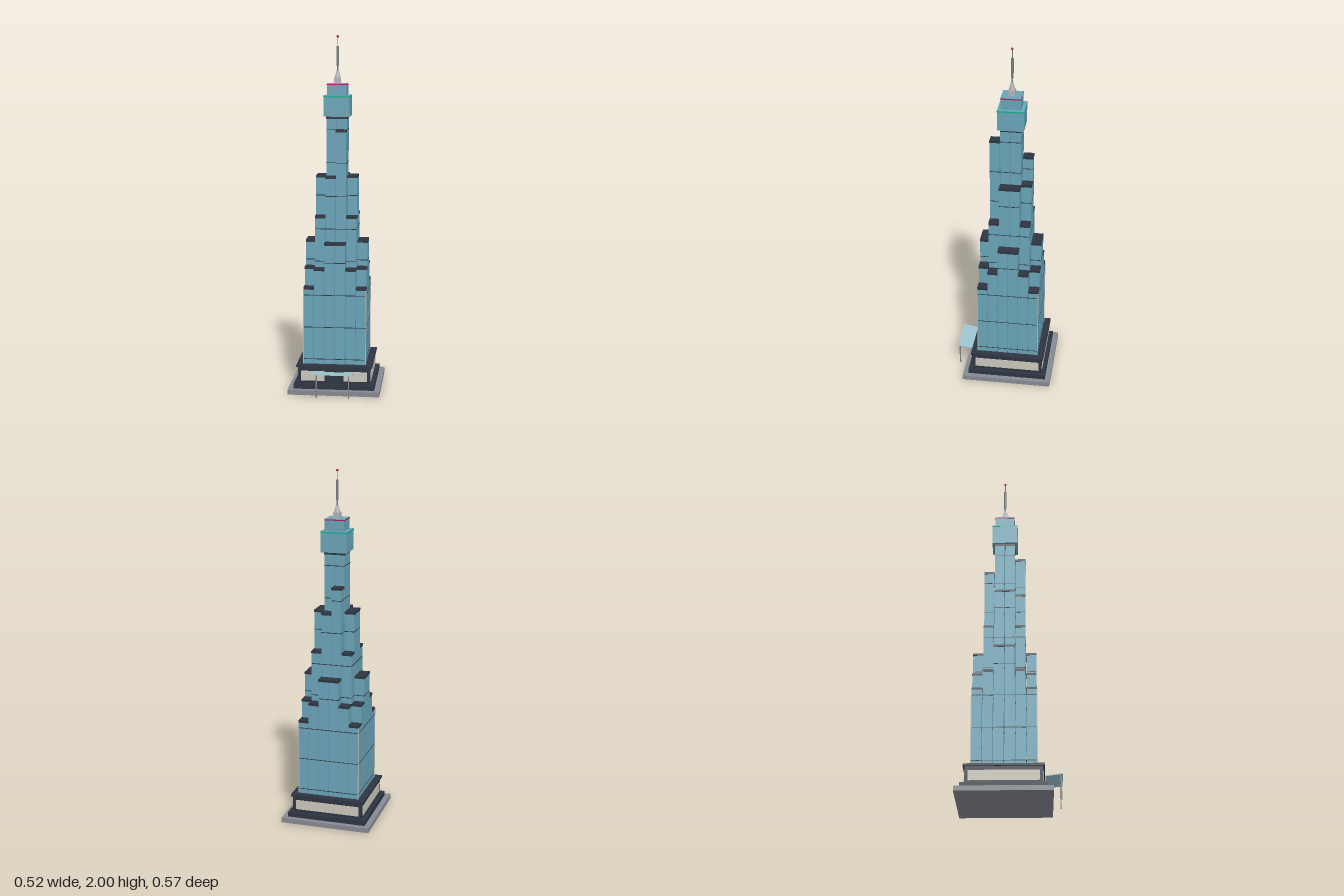
import * as THREE from 'three';

const mat = (name, color) => {
  const m = new THREE.MeshStandardMaterial({ color });
  m.name = name;
  return m;
};

export function createModel() {
  const glass = mat('blue glass', 0x6aa4b8);
  const dark = mat('dark trim', 0x2d3541);
  const stone = mat('grey stone', 0x868a92);
  const cream = mat('cream panel', 0xcbc7bc);
  const metal = mat('pale metal', 0xb4b6b8);
  const steel = mat('grey steel', 0x7c8084);
  const canopyGlass = mat('light glass', 0x9cc5cf);
  const green = mat('green light', 0x12b08c);
  const magenta = mat('magenta light', 0xb01850);

  const model = new THREE.Group();
  const tower = new THREE.Group();
  tower.name = 'tower';
  tower.position.z = -0.027;
  model.add(tower);

  const add = (name, geo, material, x, y, z) => {
    const mesh = new THREE.Mesh(geo, material);
    mesh.name = name;
    mesh.position.set(x, y, z);
    tower.add(mesh);
    return mesh;
  };
  // Box given by its bottom and top heights
  const box = (name, material, w, d, y0, y1, x = 0, z = 0) =>
    add(name, new THREE.BoxGeometry(w, y1 - y0, d), material, x, (y0 + y1) / 2, z);
  const rod = (name, material, rTop, rBottom, y0, y1, sides = 12) =>
    add(name, new THREE.CylinderGeometry(rTop, rBottom, y1 - y0, sides), material, 0, (y0 + y1) / 2, 0);

  // Podium
  box('plinth', stone, 0.516, 0.516, 0, 0.027);
  box('podiumStep', dark, 0.456, 0.456, 0.027, 0.054);
  box('podiumWall', dark, 0.41, 0.41, 0.054, 0.148);
  box('podiumRoof', dark, 0.428, 0.428, 0.148, 0.16);
  for (const s of [-1, 1]) {
    box('frontPanel', cream, 0.132, 0.006, 0.07, 0.126, s * 0.121, 0.205);
    box('sidePanel', cream, 0.006, 0.374, 0.07, 0.126, s * 0.205, 0);
  }
  box('backPanel', cream, 0.374, 0.006, 0.07, 0.126, 0, -0.205);

  // Entrance canopy, rising outward
  const canopy = box('canopy', canopyGlass, 0.22, 0.094, 0.126, 0.131, 0, 0.263);
  canopy.rotation.x = -0.13;
  for (const s of [-1, 1]) box('canopyPost', steel, 0.007, 0.007, 0, 0.131, s * 0.09, 0.3);

  // Stepped bundle of square shafts on a six by six grid, front row last
  const heights = [
    [0.6, 0.707, 0.852, 0.852, 0.707, 0.6],
    [0.707, 0.997, 1.365, 1.22, 0.997, 0.707],
    [0.852, 1.22, 1.55, 1.55, 1.22, 0.852],
    [0.852, 1.22, 1.55, 1.55, 1.22, 0.852],
    [0.707, 0.997, 1.22, 1.48, 0.997, 0.707],
    [0.6, 0.707, 0.852, 0.852, 0.707, 0.6],
  ];
  const pitch = 0.059, width = 0.056;
  heights.forEach((row, j) => row.forEach((h, i) => {
    const x = (i - 2.5) * pitch, z = (j - 2.5) * pitch;
    box('shaft', glass, width, width, 0.16, h - 0.013, x, z);
    box('shaftCap', dark, width + 0.002, width + 0.002, h - 0.013, h, x, z);
    for (let y = 0.188; y < h - 0.03; y += 0.184) {
      box('floorBand', dark, width + 0.001, width + 0.001, y - 0.002, y + 0.002, x, z);
    }
  }));
  // Pale fins on the four corners
  for (const sx of [-1, 1]) for (const sz of [-1, 1]) {
    box('cornerFin', metal, 0.005, 0.005, 0.16, 0.588, sx * 0.176, sz * 0.176);
  }

  // Crown with light strips
  box('crown', glass, 0.146, 0.146, 1.55, 1.658);
  box('greenLight', green, 0.149, 0.149, 1.658, 1.665);
  box('crownDeck', glass, 0.148, 0.148, 1.665, 1.667);
  box('upperCrown', glass, 0.11, 0.11, 1.667, 1.725);
  box('magentaLight', magenta, 0.113, 0.113, 1.725, 1.731);
  box('crownRoof', glass, 0.112, 0.112, 1.731, 1.733);

  // Mast
  box('mastFoot', metal, 0.036, 0.036, 1.733, 1.765);
  rod('mastCone', metal, 0.008, 0.017, 1.765, 1.8);
  rod('lowerMast', steel, 0.004, 0.004, 1.8, 1.83);
  rod('antenna', steel, 0.008, 0.008, 1.83, 1.94);
  rod('upperMast', steel, 0.0025, 0.0025, 1.94, 1.99);
  add('beacon', new THREE.SphereGeometry(0.007, 12, 8), magenta, 0, 1.993, 0);

  return model;
}
